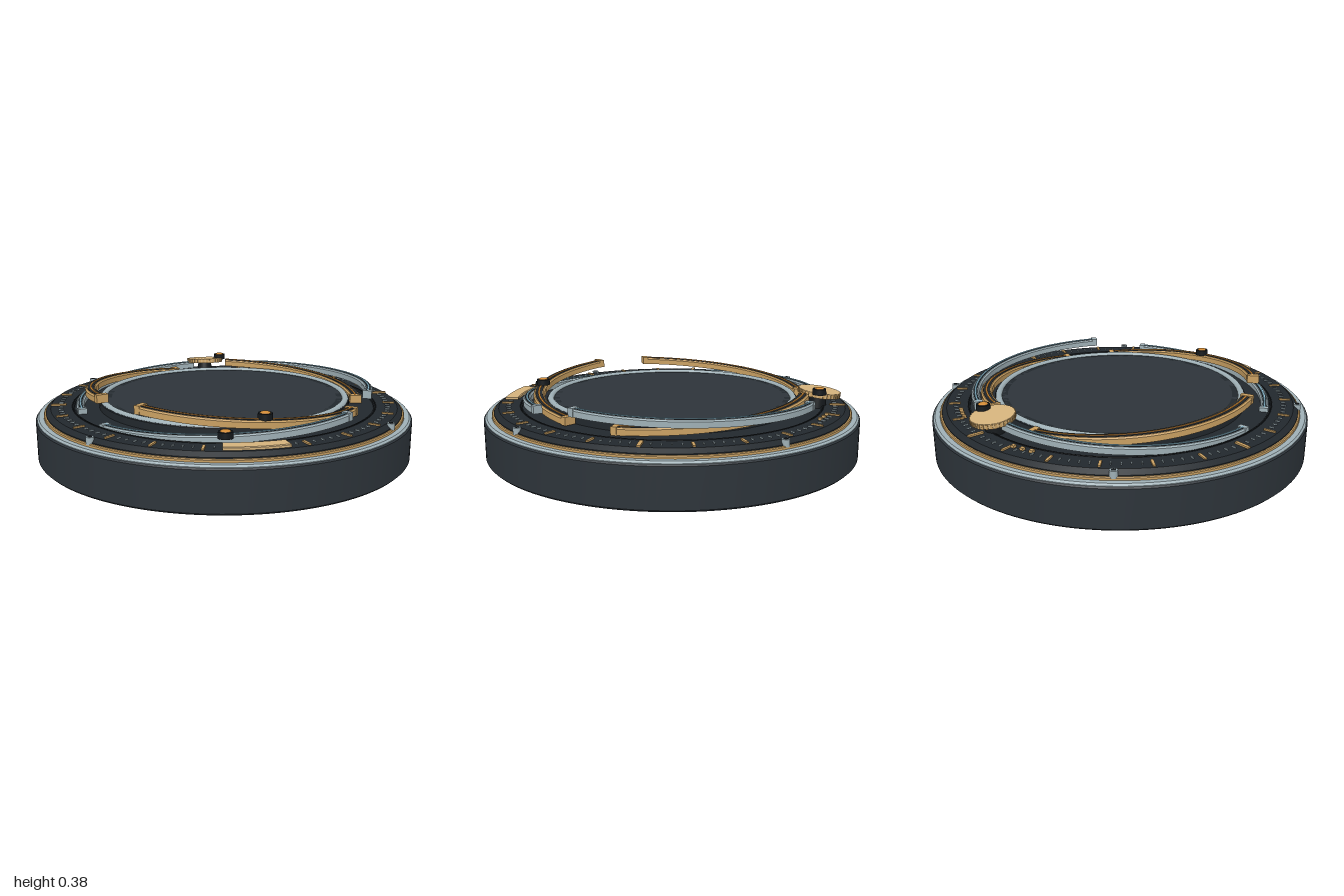
import * as THREE from 'three';

const mat = (name, color) => Object.assign(new THREE.MeshStandardMaterial({ color }), { name });
const RAD = Math.PI / 180;

export function createModel() {
  const body = mat('graphite', 0x2d343a), deck = mat('dark graphite', 0x22282d), black = mat('black', 0x14181b);
  const silver = mat('silver', 0x9fb0b6), gold = mat('gold', 0xc9a062), pale = mat('pale gold', 0xd4b27c);
  const orange = mat('amber line', 0xd08a35), blue = mat('blue line', 0x86b6ca);
  const model = new THREE.Group();
  model.name = 'orbitalDial';

  const add = (parent, name, geometry, material) => {
    const mesh = new THREE.Mesh(geometry, material);
    mesh.name = name;
    parent.add(mesh);
    return mesh;
  };

  // Sweeps a counter-clockwise (radius, height) section around y, rising linearly by `rise`
  const sweep = (section, from = 0, to = 360, rise = 0) => {
    const steps = Math.max(4, Math.ceil((to - from) / 2.5)), pos = [], index = [];
    section.forEach((p, k) => {
      const q = section[(k + 1) % section.length], base = pos.length / 3;
      for (let i = 0; i <= steps; i++) {
        const t = i / steps, a = (from + (to - from) * t) * RAD;
        for (const [r, y] of [p, q]) pos.push(r * Math.cos(a), y + rise * t, r * Math.sin(a));
        if (i < steps) {
          const n = base + i * 2;
          index.push(n, n + 1, n + 2, n + 1, n + 3, n + 2);
        }
      }
    });
    const g = new THREE.BufferGeometry();
    g.setAttribute('position', new THREE.Float32BufferAttribute(pos, 3));
    g.setIndex(index);
    g.computeVertexNormals();
    return g;
  };
  const rect = (r0, r1, y0, y1, b = 0.004) =>
    [[r0, y0], [r1, y0], [r1, y1 - b], [r1 - b, y1], [r0 + b, y1], [r0, y1 - b]];

  // Places an object at a polar position with its local x pointing outward
  const polar = (obj, deg, r, y) => {
    obj.position.set(r * Math.cos(deg * RAD), y, r * Math.sin(deg * RAD));
    obj.rotation.y = -deg * RAD;
    return obj;
  };

  // Base and stepped deck
  add(model, 'base', sweep([[0, 0], [0.99, 0], [1, 0.01], [1, 0.205], [0.99, 0.215], [0, 0.215]]), body);
  add(model, 'silverRim', sweep(rect(0.95, 0.993, 0.2, 0.224, 0.009)), silver);
  add(model, 'goldRim', sweep(rect(0.93, 0.958, 0.21, 0.238)), gold);
  add(model, 'deck', sweep([[0.6, 0.2], [0.947, 0.2], [0.947, 0.243], [0.922, 0.262], [0.8, 0.262], [0.8, 0.252], [0.6, 0.252]]), deck);
  add(model, 'trackLine', sweep(rect(0.806, 0.813, 0.25, 0.265, 0.001)), black);

  // Central dial with its bezel
  add(model, 'dialWall', sweep(rect(0.6, 0.672, 0.24, 0.293)), deck);
  const bezel = add(model, 'dialBezel', new THREE.TorusGeometry(0.65, 0.018, 12, 144), silver);
  bezel.rotation.x = Math.PI / 2;
  bezel.position.y = 0.289;
  const dial = add(model, 'dial', new THREE.CylinderGeometry(0.635, 0.635, 0.05, 120), body);
  dial.position.y = 0.268;

  // Hour and minute ticks
  for (let i = 0; i < 120; i++) {
    const a = i * 3, major = i % 5 === 0, cardinal = i % 30 === 0;
    if (Math.abs(a - 90) < 11) continue;
    const size = cardinal ? [0.08, 0.012, 0.018] : major ? [0.058, 0.01, 0.013] : [0.024, 0.008, 0.005];
    polar(add(model, major ? 'majorTick' : 'minorTick', new THREE.BoxGeometry(...size), major ? gold : silver),
      a, major ? 0.882 : 0.872, 0.264);
  }
  for (const a of [247, 250.5, 254, 286, 289.5, 293])
    polar(add(model, 'indexStud', new THREE.BoxGeometry(0.02, 0.014, 0.02), gold), a, 0.85, 0.267);

  // Front plate
  const plate = add(model, 'frontPlate', sweep(rect(0.835, 0.908, 0.255, 0.276), 80.5, 99.5), pale);
  for (const a of [80.5, 99.5])
    polar(add(plate, 'frontPlateEnd', new THREE.BoxGeometry(0.07, 0.019, 0.004), pale), a, 0.8715, 0.265);

  // Rim screws
  for (const a of [41, 139, 221, 319]) {
    const screw = polar(new THREE.Group(), a, 0.942, 0.25);
    screw.name = 'rimScrew';
    add(screw, 'screwHead', new THREE.CylinderGeometry(0.019, 0.019, 0.035, 20), silver);
    add(screw, 'screwSocket', new THREE.CylinderGeometry(0.011, 0.011, 0.004, 16), black).position.y = 0.017;
    model.add(screw);
  }

  // Inclined orbit bands: angle range, top height at each end, capped ends
  const orbit = (name, r, w, from, to, y0, y1, metal, line, caps) => {
    const g = new THREE.Group(), rise = y1 - y0, h = 0.036;
    g.name = name;
    add(g, 'band', sweep(rect(r - w / 2, r + w / 2, y0 - h, y0, 0.007), from, to, rise), metal);
    add(g, 'inlay', sweep(rect(r - w / 2 + 0.011, r + w / 2 - 0.011, y0 - 0.005, y0 + 0.002, 0.001), from, to, rise), deck);
    add(g, 'centreLine', sweep(rect(r - 0.005, r + 0.005, y0 - 0.003, y0 + 0.005, 0.001), from, to, rise), line);
    for (const [a, y, shown] of [[from, y0, caps[0]], [to, y1, caps[1]]])
      polar(add(g, 'endCap', new THREE.BoxGeometry(w + (shown ? 0.004 : -0.002), h + (shown ? 0.006 : -0.002), shown ? 0.03 : 0.008), metal),
        a, r, y - h / 2 + (shown ? 0.002 : 0));
    model.add(g);
  };
  orbit('leftGoldOrbit', 0.712, 0.058, 157, 254, 0.376, 0.3, gold, orange, [1, 1]);
  orbit('rightGoldOrbit', 0.712, 0.058, -80, 12, 0.345, 0.288, gold, orange, [0, 1]);
  orbit('frontGoldOrbit', 0.712, 0.058, 35, 132, 0.293, 0.38, gold, orange, [1, 1]);
  orbit('leftSilverOrbit', 0.77, 0.042, 169, 264, 0.274, 0.325, silver, blue, [1, 0]);
  orbit('rightSilverOrbit', 0.77, 0.042, -72, 27, 0.325, 0.362, silver, blue, [1, 1]);
  orbit('frontSilverOrbit', 0.775, 0.042, 50, 146, 0.32, 0.268, silver, blue, [1, 1]);

  // Jewelled knobs riding on the bands
  for (const [x, y, z] of [[0.075, 0.352, 0.702], [-0.12, 0.297, 0.78], [0.095, 0.352, -0.782]]) {
    const knob = new THREE.Group();
    knob.name = 'jewelKnob';
    knob.position.set(x, y, z);
    add(knob, 'knobCollar', new THREE.CylinderGeometry(0.034, 0.036, 0.03, 24), black);
    add(knob, 'knobJewel', new THREE.SphereGeometry(0.024, 20, 8, 0, Math.PI * 2, 0, Math.PI / 2).scale(1, 0.35, 1), orange).position.y = 0.015;
    model.add(knob);
  }

  // Tilted coin with a milled edge at the back
  const coin = new THREE.Group();
  coin.name = 'backCoin';
  coin.position.set(0, 0.33, -0.785);
  coin.rotation.x = -0.12;
  add(coin, 'coinDisc', new THREE.CylinderGeometry(0.108, 0.108, 0.026, 48), pale);
  for (let i = 0; i < 32; i++)
    polar(add(coin, 'coinTooth', new THREE.BoxGeometry(0.008, 0.024, 0.011), gold), i * 11.25, 0.108, 0);
  const post = add(coin, 'coinPost', new THREE.CylinderGeometry(0.04, 0.05, 0.07, 24), black);
  post.position.y = -0.045;
  model.add(coin);

  return model;
}
